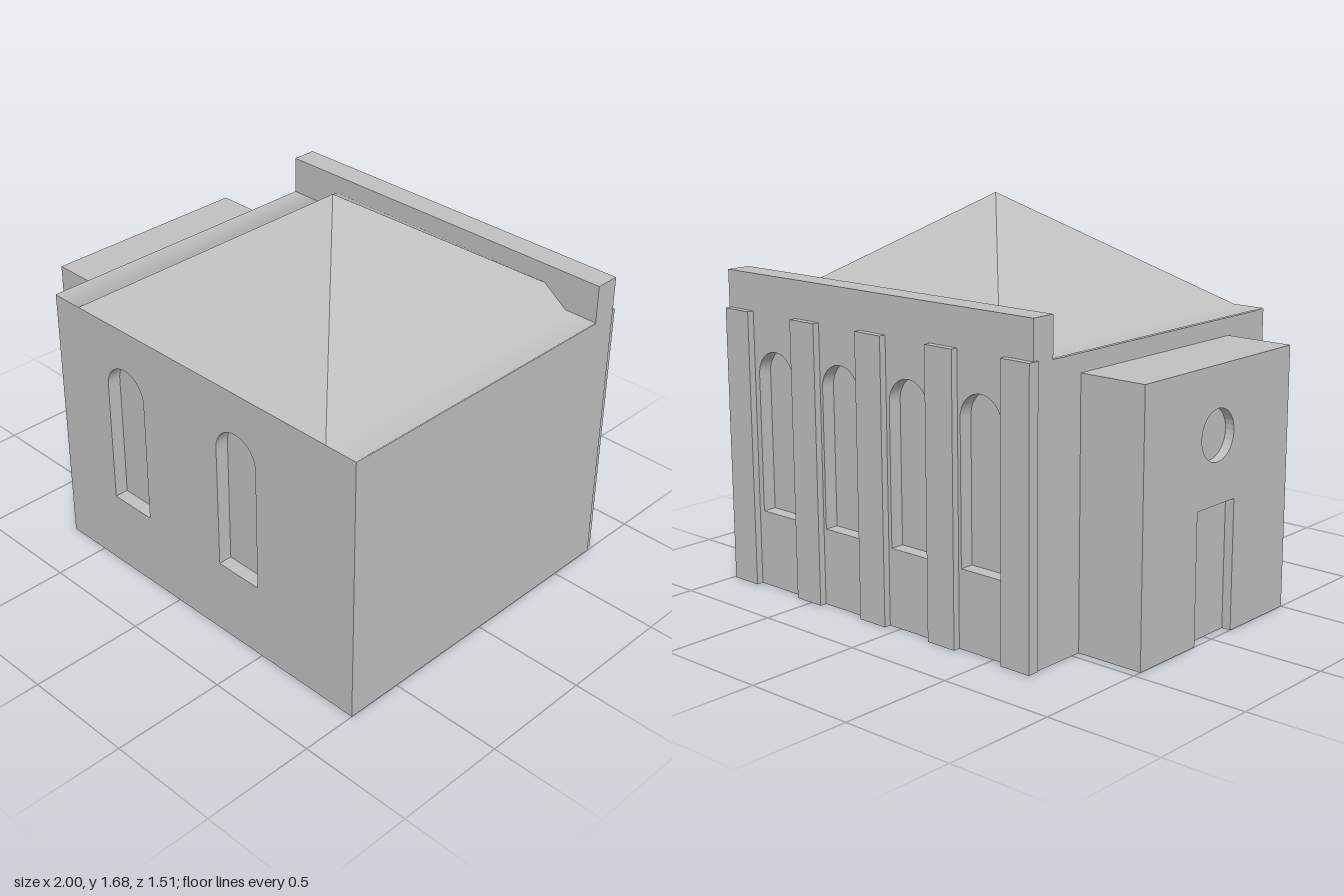
import * as THREE from 'three';

const stone = new THREE.MeshStandardMaterial({ color: 0xc0c0c0 });
stone.name = 'pale grey stone';

// Building limits
const LEFT = -0.7, RIGHT = 1, FRONT = 0.755, BACK = -0.73;
const MID = (LEFT + RIGHT) / 2, EAVE = 1.19, PARAPET = 1.355, PARAPET_FACE = -0.62;
const RECESS = 0.06, ANNEX_RECESS = 0.04;

function add(group, name, geometry) {
  const mesh = new THREE.Mesh(geometry, stone);
  mesh.name = name;
  group.add(mesh);
  return mesh;
}

// Box given by its limits on each axis
function block(group, name, x0, x1, y0, y1, z0, z1) {
  const mesh = add(group, name, new THREE.BoxGeometry(x1 - x0, y1 - y0, z1 - z0));
  mesh.position.set((x0 + x1) / 2, (y0 + y1) / 2, (z0 + z1) / 2);
}

function outline(points) {
  return new THREE.Shape(points.map(([x, y]) => new THREE.Vector2(x, y)));
}

// Round-headed window opening
function archHole(cx, sill, top, r) {
  const p = new THREE.Path();
  p.moveTo(cx - r, sill);
  p.lineTo(cx + r, sill);
  p.lineTo(cx + r, top - r);
  p.absarc(cx, top - r, r, 0, Math.PI, false);
  p.lineTo(cx - r, sill);
  return p;
}

function slab(shape, depth) {
  return new THREE.ExtrudeGeometry(shape, { depth, bevelEnabled: false, curveSegments: 16 });
}

// Triangles from a short list of corners; shared corners give smooth normals
function faces(points, index) {
  const g = new THREE.BufferGeometry();
  g.setAttribute('position', new THREE.Float32BufferAttribute(points.flat(), 3));
  g.setIndex(index);
  g.computeVertexNormals();
  return g;
}

function buildRoof() {
  const roof = new THREE.Group();
  roof.name = 'roof';
  const apex = [MID, 1.68, 0.01];
  const corner = (s, dx, y, z) => [MID + s * dx, y, z];
  // Side slopes flaring into flat eaves
  for (const s of [1, -1]) {
    const points = [
      apex,
      corner(s, 0.7, EAVE, FRONT), corner(s, 0.7, EAVE, PARAPET_FACE),
      corner(s, 0.585, 1.272, PARAPET_FACE),
      corner(s, 0.85, EAVE, FRONT), corner(s, 0.85, EAVE, PARAPET_FACE),
    ];
    const index = [0, 1, 2, 0, 2, 3, 1, 4, 5, 1, 5, 2];
    if (s < 0) index.reverse();
    add(roof, s > 0 ? 'leftRoofSlope' : 'rightRoofSlope', faces(points, index));
  }
  // Front and back slopes
  add(roof, 'frontRoofSlope',
    faces([apex, corner(-1, 0.7, EAVE, FRONT), corner(1, 0.7, EAVE, FRONT)], [0, 1, 2]));
  add(roof, 'backRoofSlope',
    faces([apex, corner(1, 0.585, 1.272, PARAPET_FACE), corner(-1, 0.585, 1.272, PARAPET_FACE)], [0, 1, 2]));
  return roof;
}

export function createModel() {
  const model = new THREE.Group();
  model.name = 'building';

  // Main hall between the two window walls
  block(model, 'hall', LEFT, RIGHT, 0, EAVE - 0.004, BACK + RECESS, FRONT - RECESS);

  // Front wall with two arched niches
  const frontShape = outline([[LEFT, 0], [RIGHT, 0], [RIGHT, EAVE - 0.002], [LEFT, EAVE - 0.002]]);
  for (const x of [-0.28, 0.37]) frontShape.holes.push(archHole(x, 0.335, 1.005, 0.11));
  add(model, 'frontWall', slab(frontShape, RECESS)).position.z = FRONT - RECESS;

  // Back wall with four arched niches, rising into the parapet
  const backShape = outline([[LEFT, 0], [RIGHT, 0], [RIGHT, PARAPET], [LEFT, PARAPET]]);
  for (const x of [-0.44, -0.06, 0.325, 0.715]) backShape.holes.push(archHole(x, 0.33, 1.035, 0.105));
  add(model, 'backWall', slab(backShape, RECESS)).position.z = BACK;
  block(model, 'parapet', LEFT, RIGHT, EAVE - 0.02, PARAPET, BACK + RECESS, PARAPET_FACE);

  // Pilasters between the back windows
  for (const x of [-0.635, -0.25, 0.133, 0.515, 0.918]) {
    block(model, 'pilaster', x - 0.071, x + 0.071, 0, 1.195, -0.76, BACK + 0.02);
  }

  model.add(buildRoof());

  // Side annex with a door recess and a round window
  const annex = new THREE.Group();
  annex.name = 'annex';
  const z0 = -0.46, z1 = 0.5, top = 1.11;
  block(annex, 'annexBody', -1 + ANNEX_RECESS, LEFT, 0, top, z0, z1);
  const wall = outline([
    [z0, 0], [-0.115, 0], [-0.115, 0.55], [0.13, 0.55], [0.13, 0], [z1, 0], [z1, top], [z0, top],
  ]);
  const roundWindow = new THREE.Path();
  roundWindow.absarc(0.01, 0.83, 0.107, 0, Math.PI * 2, false);
  wall.holes.push(roundWindow);
  const doorWall = add(annex, 'doorWall', slab(wall, ANNEX_RECESS));
  doorWall.rotation.y = -Math.PI / 2;
  doorWall.position.x = -1 + ANNEX_RECESS;
  model.add(annex);

  return model;
}
